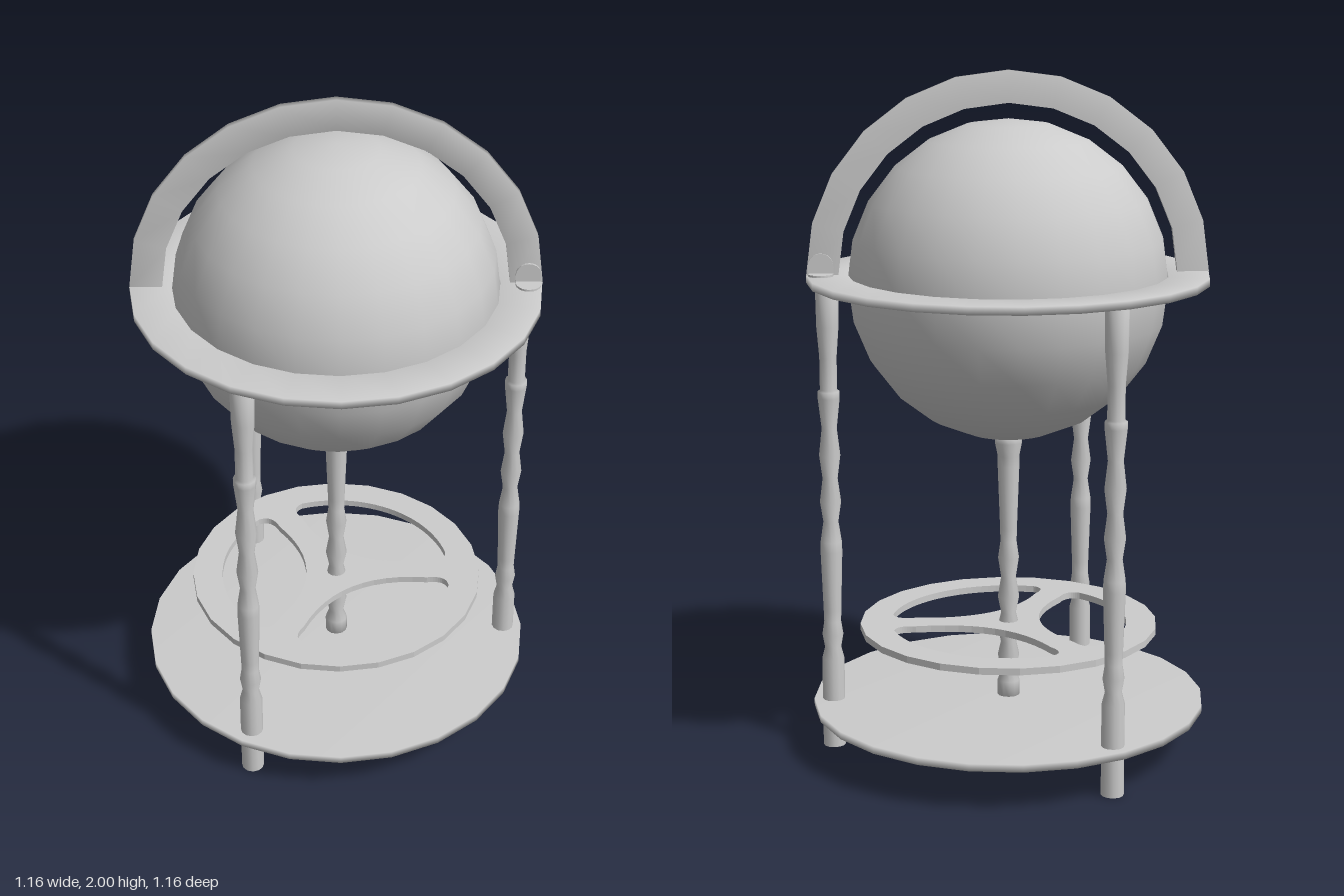
import * as THREE from 'three';

const SIDES = 24;
const material = new THREE.MeshStandardMaterial({ color: 0xcccccc, side: THREE.DoubleSide });

function add(parent, name, geometry) {
  const mesh = new THREE.Mesh(geometry, material);
  mesh.name = name;
  parent.add(mesh);
  return mesh;
}

function turned(points, sides, start = 0, sweep = Math.PI * 2) {
  return new THREE.LatheGeometry(points.map(([r, y]) => new THREE.Vector2(r, y)), sides, start, sweep);
}

// Flat band of rectangular section, softly shaded across its edges
function band(inner, outer, y0, y1, sides = SIDES, sweep = Math.PI * 2) {
  return turned([[inner, y0], [outer, y0], [outer, y1], [inner, y1], [inner, y0]], sides, 0, sweep);
}

// Flat shape with a rounded end, base at y = 0
function tongue(halfWidth, length, depth) {
  const s = new THREE.Shape();
  s.moveTo(-halfWidth, 0);
  s.lineTo(halfWidth, 0);
  s.absarc(0, length - halfWidth, halfWidth, 0, Math.PI, false);
  s.lineTo(-halfWidth, 0);
  return new THREE.ExtrudeGeometry(s, { depth, bevelEnabled: false, curveSegments: 5 });
}

// Three-spoked wheel with rounded openings between the spokes
function wheelGeometry() {
  const s = new THREE.Shape();
  s.absarc(0, 0, 0.44, 0, Math.PI * 2, false);
  const half = 0.82;
  for (let i = 0; i < 3; i++) {
    const mid = Math.PI / 3 + i * Math.PI * 2 / 3;
    const p = (r, a) => [r * Math.cos(mid + a), r * Math.sin(mid + a)];
    const hole = new THREE.Path();
    hole.moveTo(...p(0.35, -half));
    hole.absarc(0, 0, 0.35, mid - half, mid + half, false);
    hole.quadraticCurveTo(...p(0.34, half + 0.13), ...p(0.28, half + 0.08));
    hole.quadraticCurveTo(...p(0.01, 0), ...p(0.28, -half - 0.08));
    hole.quadraticCurveTo(...p(0.34, -half - 0.13), ...p(0.35, -half));
    s.holes.push(hole);
  }
  const g = new THREE.ExtrudeGeometry(s, { depth: 0.02, bevelEnabled: false, curveSegments: 12 });
  return g.rotateX(-Math.PI / 2);
}

export function createModel() {
  const model = new THREE.Group();
  model.name = 'globeStand';

  // Globe, horizon ring and half-circle meridian
  add(model, 'globe', new THREE.SphereGeometry(0.462, SIDES, 12)).position.y = 1.4;
  add(model, 'horizonRing', band(0.462, 0.58, 1.397, 1.42));
  const arc = band(0.488, 0.58, -0.01, 0.01, 12, Math.PI);
  arc.rotateZ(Math.PI / 2).rotateY(Math.PI / 2);
  add(model, 'meridianArc', arc).position.y = 1.418;

  // Bracket holding one end of the meridian
  const bracket = new THREE.Group();
  bracket.name = 'meridianBracket';
  bracket.position.set(0.538, 1.42, 0);
  for (const side of [1, -1]) {
    const upright = add(bracket, 'bracketUpright', tongue(0.036, 0.063, 0.006));
    upright.position.z = side > 0 ? 0.01 : -0.016;
    const foot = add(bracket, 'bracketFoot', tongue(0.036, 0.06, 0.006).rotateX(-Math.PI / 2));
    foot.rotation.y = side > 0 ? Math.PI : 0;
  }
  model.add(bracket);

  // Three turned legs
  const legGeometry = turned([
    [0, 0], [0.033, 0], [0.033, 0], [0.033, 0.27], [0.024, 0.305], [0.031, 0.345], [0.025, 0.385],
    [0.026, 0.42], [0.032, 0.6], [0.031, 0.63], [0.022, 0.69], [0.031, 0.75], [0.022, 0.82],
    [0.031, 0.89], [0.022, 0.97], [0.032, 1.06], [0.032, 1.08], [0.025, 1.085],
    [0.025, 1.18], [0.032, 1.27], [0.034, 1.4], [0, 1.4],
  ], 12);
  for (let i = 0; i < 3; i++) {
    const a = i * Math.PI * 2 / 3;
    add(model, 'leg', legGeometry).position.set(0.522 * Math.cos(a), 0, 0.522 * Math.sin(a));
  }

  // Central turned post under the globe
  add(model, 'centralPost', turned([
    [0, 0.135], [0.033, 0.135], [0.033, 0.19], [0.022, 0.22], [0.032, 0.27], [0.023, 0.31],
    [0.032, 0.36], [0.022, 0.4], [0.032, 0.45], [0.022, 0.51], [0.031, 0.57], [0.024, 0.62],
    [0.025, 0.66], [0.032, 0.85], [0.032, 0.88], [0.04, 0.92], [0.038, 0.95], [0, 0.95],
  ], 12));

  // Spoked wheel and base shelf
  add(model, 'spokedWheel', wheelGeometry()).position.y = 0.355;
  add(model, 'baseShelf', turned([[0, 0.123], [0.58, 0.123], [0.58, 0.145], [0, 0.145]], SIDES));

  return model;
}
